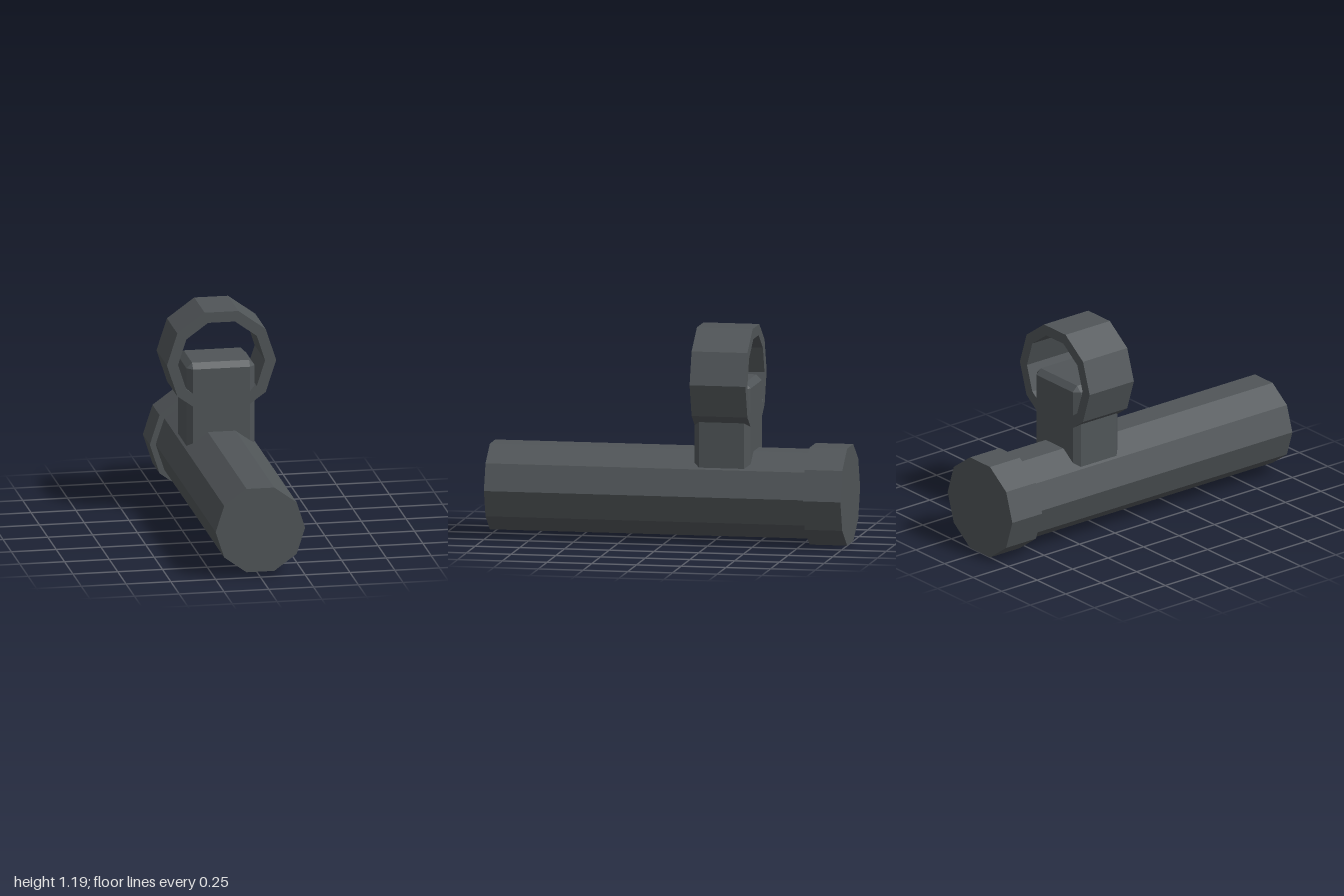
import * as THREE from 'three';
import { ConvexGeometry } from 'three/addons/geometries/ConvexGeometry.js';

const SIDES = 10;

// Ten-sided outline with corners on the x axis
function decagon(radius) {
  return Array.from({ length: SIDES }, (_, i) => {
    const a = (i / SIDES) * Math.PI * 2;
    return new THREE.Vector2(Math.cos(a) * radius, Math.sin(a) * radius);
  });
}

// Solid ten-sided bar along z
function bar(radius, z0, z1) {
  const g = new THREE.CylinderGeometry(radius, radius, z1 - z0, SIDES, 1, false, Math.PI / 2);
  g.rotateX(Math.PI / 2);
  g.translate(0, 0, (z0 + z1) / 2);
  return g;
}

// Box with every edge chamfered
function chamferBox(hx, hy, hz, c) {
  const points = [];
  for (const x of [-1, 1]) for (const y of [-1, 1]) for (const z of [-1, 1]) {
    points.push(
      new THREE.Vector3(x * hx, y * (hy - c), z * (hz - c)),
      new THREE.Vector3(x * (hx - c), y * hy, z * (hz - c)),
      new THREE.Vector3(x * (hx - c), y * (hy - c), z * hz)
    );
  }
  return new ConvexGeometry(points);
}

export function createModel() {
  const group = new THREE.Group();
  const gunmetal = new THREE.MeshStandardMaterial({ color: 0x505558 });
  gunmetal.name = 'gunmetal';
  gunmetal.flatShading = true;

  const add = (name, geometry, x, y, z) => {
    const mesh = new THREE.Mesh(geometry, gunmetal);
    mesh.name = name;
    mesh.position.set(x, y, z);
    group.add(mesh);
  };

  // Long main tube and its wider rear cap
  add('mainTube', bar(0.25, -0.9, 1), 0, 0.273, 0);
  add('rearCap', bar(0.283, -1, -0.79), 0, 0.273, 0);

  // Upright mounting block, sunk into the tube
  add('mountBlock', chamferBox(0.19, 0.26, 0.157, 0.031), 0, 0.642, -0.317);

  // Open ring around the top of the block
  const outline = new THREE.Shape(decagon(0.305));
  outline.holes.push(new THREE.Path(decagon(0.243)));
  const ring = new THREE.ExtrudeGeometry(outline, { depth: 0.312, bevelEnabled: false });
  add('mountRing', ring, 0, 0.902, -0.473);

  return group;
}
